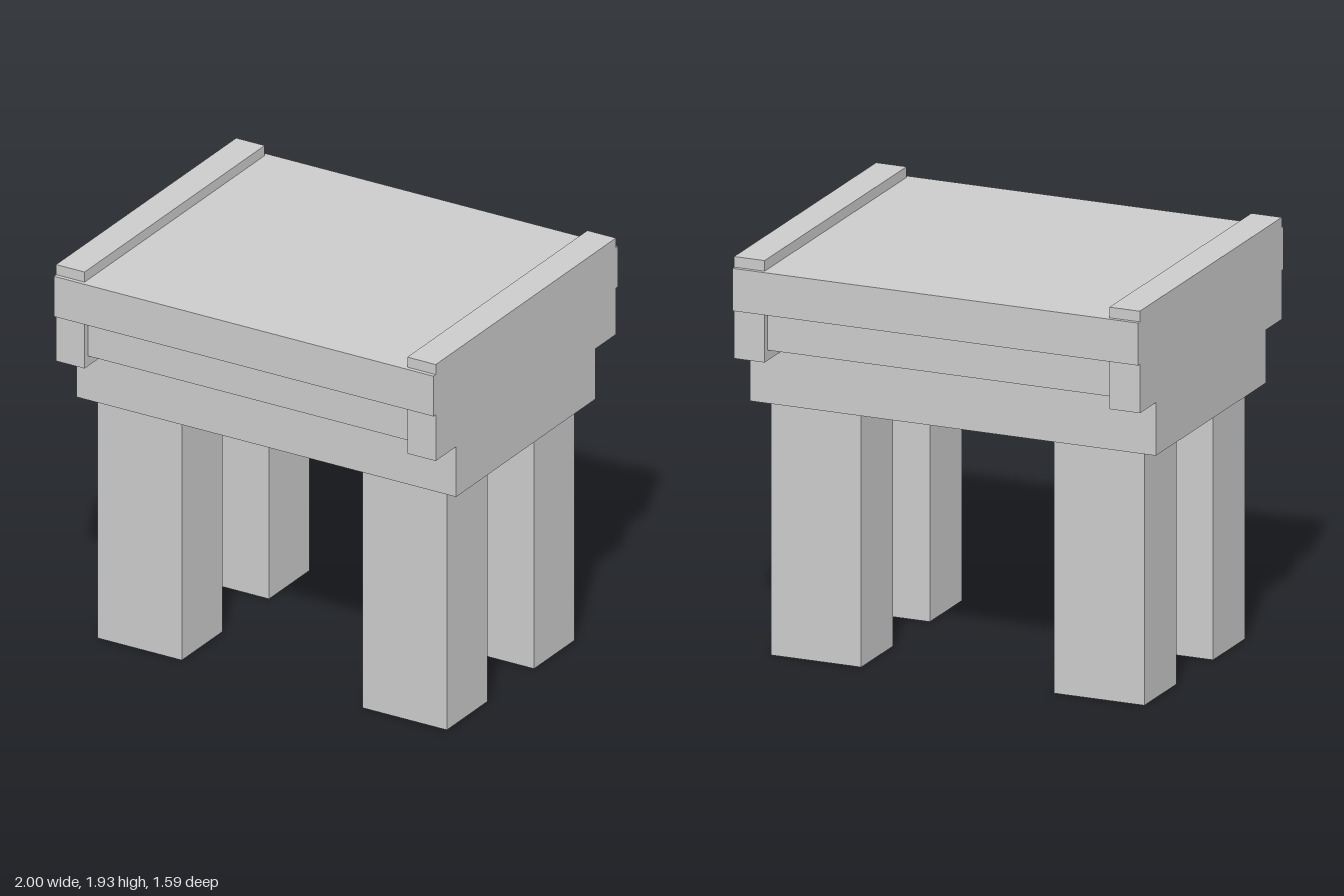
import * as THREE from 'three';

const material = new THREE.MeshStandardMaterial({ color: 0xcccccc, flatShading: true });

// Box given by its width, depth, bottom and top heights, and centre in plan
function block(name, width, depth, y0, y1, x = 0, z = 0) {
  const mesh = new THREE.Mesh(new THREE.BoxGeometry(width, y1 - y0, depth), material);
  mesh.name = name;
  mesh.position.set(x, (y0 + y1) / 2, z);
  return mesh;
}

export function createModel() {
  const table = new THREE.Group();
  table.name = 'table';

  // Stacked body: base frame, recessed apron, overhanging top
  table.add(block('baseFrame', 2, 1.2, 1.2, 1.5));
  table.add(block('apron', 1.7, 1.49, 1.5, 1.68));
  table.add(block('tableTop', 2, 1.59, 1.68, 1.88));

  for (const sx of [-1, 1]) {
    const side = sx > 0 ? 'left' : 'right';
    // End rail running front to back, standing proud of the top
    table.add(block(side + 'EndRail', 0.15, 1.55, 1.45, 1.93, sx * 0.925));
    // Square-cut legs
    for (const sz of [-1, 1]) {
      const name = side + (sz > 0 ? 'Front' : 'Back') + 'Leg';
      table.add(block(name, 0.445, 0.35, 0, 1.2, sx * 0.698, sz * 0.375));
    }
  }
  return table;
}
